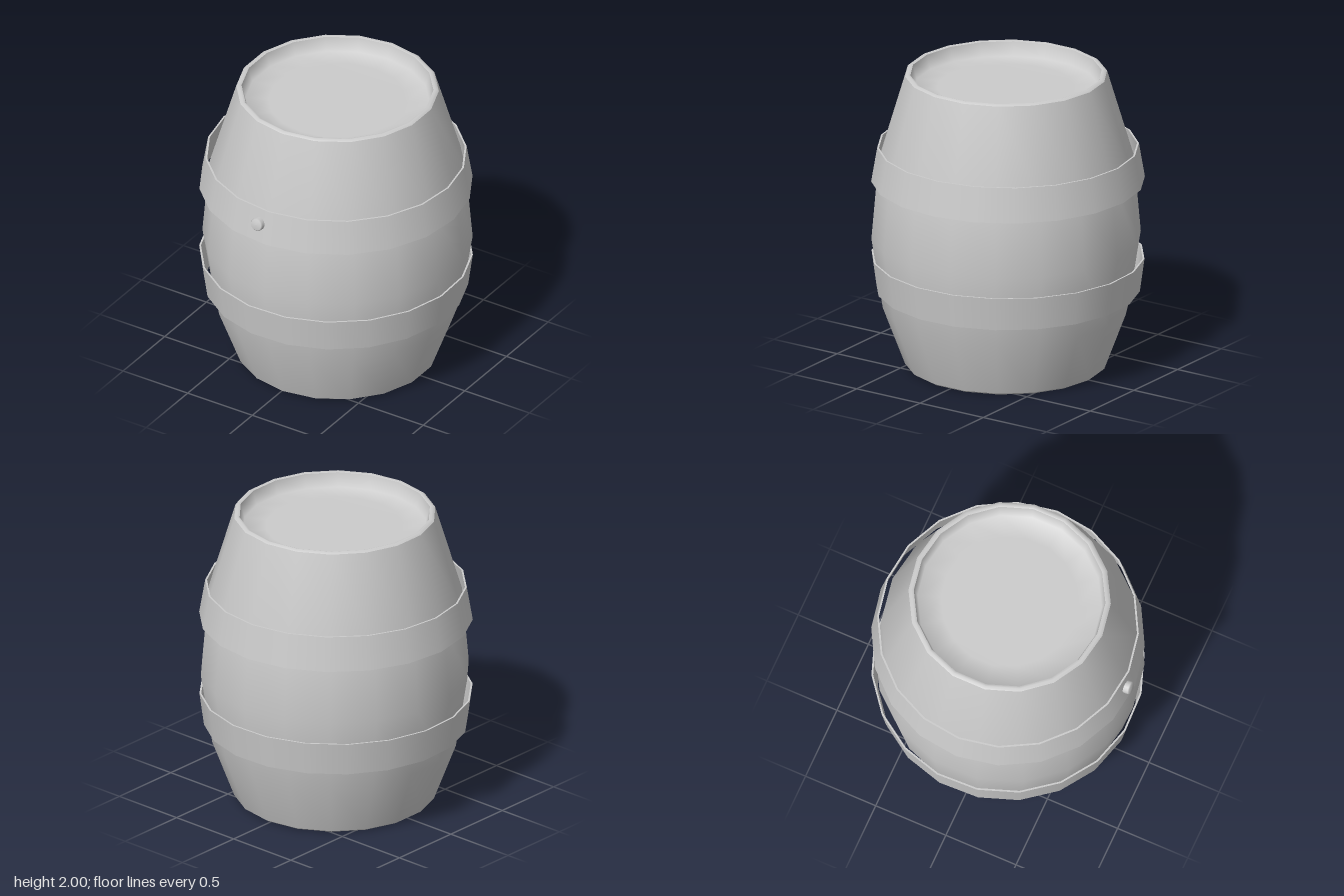
import * as THREE from 'three';

const material = new THREE.MeshStandardMaterial({ color: 0xcccccc });

// Smooth surface of revolution; profile is [radius, height] pairs
function turned(name, profile, sides) {
  const points = profile.map(([r, y]) => new THREE.Vector2(r, y));
  const mesh = new THREE.Mesh(new THREE.LatheGeometry(points, sides), material);
  mesh.name = name;
  return mesh;
}

// Thin hoop standing slightly clear of the staves; one strip per face keeps its edges sharp
function hoop(name, yLow, rLow, yHigh, rHigh, turn) {
  const thickness = 0.012;
  const corners = [
    [rLow, yLow], [rHigh, yHigh],
    [rHigh - thickness, yHigh], [rLow - thickness, yLow],
  ];
  const group = new THREE.Group();
  group.name = name;
  ['hoopBand', 'hoopTopEdge', 'hoopInside', 'hoopBottomEdge'].forEach((part, i) => {
    group.add(turned(part, [corners[i], corners[(i + 1) % 4]], 20));
  });
  group.rotation.y = THREE.MathUtils.degToRad(turn);
  group.position.z = -0.005;
  return group;
}

export function createModel() {
  const model = new THREE.Group();
  model.name = 'barrel';

  // Bulging staves
  const sides = 18;
  const body = new THREE.Group();
  body.name = 'body';
  body.position.x = 0.015;
  body.add(turned('staves',
    [[0.66, 0.012], [0.805, 0.4], [0.88, 0.88], [0.835, 1.4], [0.66, 1.988]], sides));

  // Bevelled rim and sunken head, the same at both ends
  for (const end of ['top', 'bottom']) {
    const cap = new THREE.Group();
    cap.name = end + 'End';
    cap.add(
      turned('rim', [[0.66, 0.988], [0.642, 1], [0.625, 0.994]], sides),
      turned('head', [[0.625, 0.994], [0.6, 0.9], [0.45, 0.895], [0, 0.895]], sides),
    );
    cap.position.y = 1;
    if (end === 'bottom') cap.rotation.x = Math.PI;
    body.add(cap);
  }
  model.add(body);

  // Hoops
  model.add(hoop('upperHoop', 1.26, 0.892, 1.49, 0.853, 2));
  model.add(hoop('lowerHoop', 0.515, 0.862, 0.74, 0.892, 11));

  // Rounded bung, square to the slope of the upper hoop
  const bung = turned('bung',
    [[0.045, 0], [0.045, 0.075], [0.038, 0.084], [0, 0.086]], 14);
  bung.rotation.x = Math.PI / 2 - 0.16;
  bung.position.set(-0.04, 1.38, 0.812);
  model.add(bung);

  return model;
}
